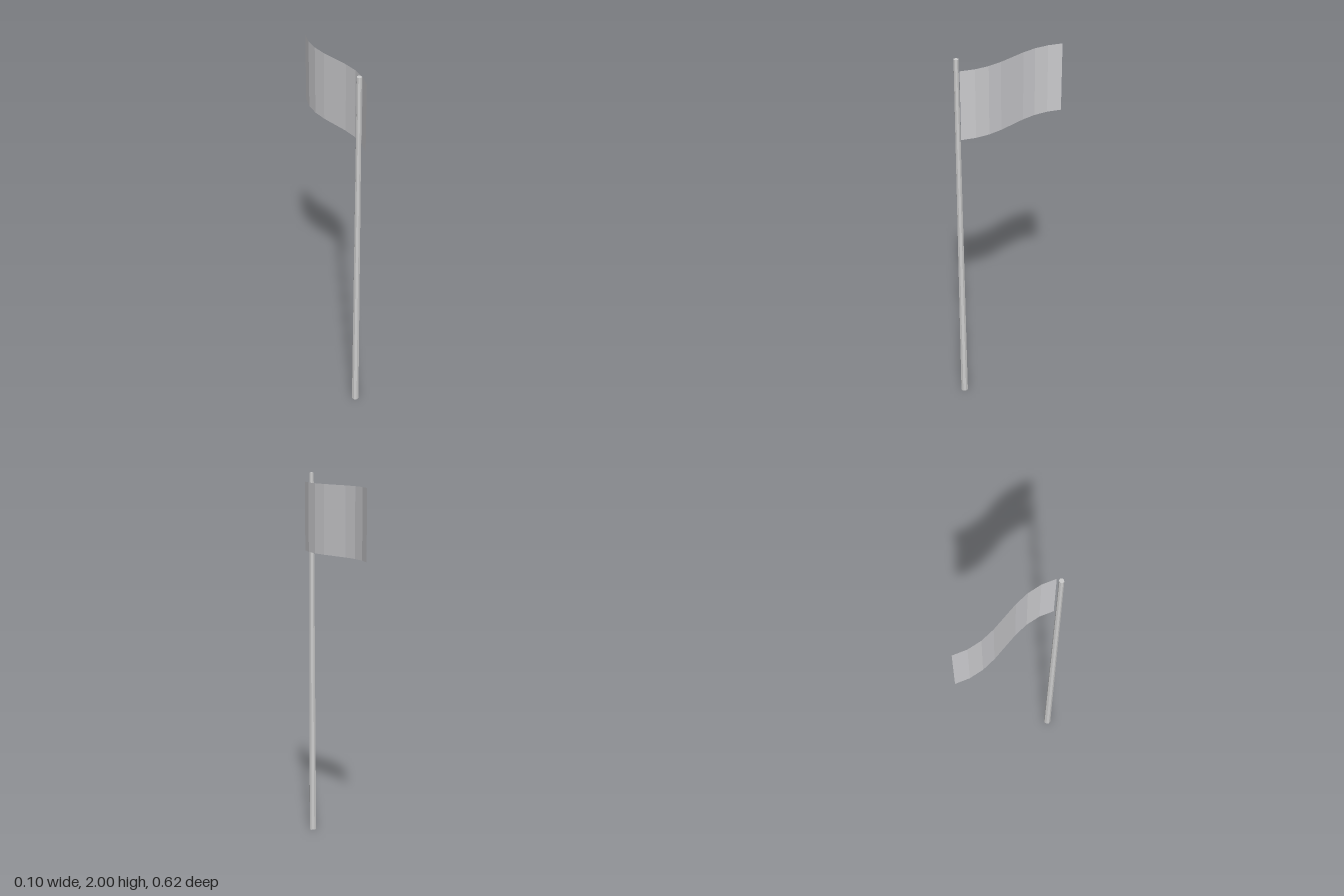
import * as THREE from 'three';

export function createModel() {
  const group = new THREE.Group();
  group.name = 'flagOnPole';

  const poleGrey = new THREE.MeshStandardMaterial({ color: 0xcccccc, flatShading: true });
  poleGrey.name = 'pale grey pole';
  const clothGrey = new THREE.MeshStandardMaterial({ color: 0xcccccf, flatShading: true, side: THREE.DoubleSide });
  clothGrey.name = 'pale grey cloth';

  // Tapered eight-sided pole
  const pole = new THREE.Mesh(new THREE.CylinderGeometry(0.0125, 0.0195, 2, 8), poleGrey);
  pole.name = 'pole';
  pole.position.set(0, 1, 0.29);
  group.add(pole);

  // Thin cloth, bent into an S-shaped wave along its length
  const cloth = new THREE.PlaneGeometry(0.6, 0.365, 8, 1);
  cloth.rotateY(Math.PI / 2);
  const p = cloth.attributes.position;
  for (let i = 0; i < p.count; i++) p.setX(i, 0.05 * Math.sin(7.6 * p.getZ(i)));
  cloth.computeVertexNormals();
  const flag = new THREE.Mesh(cloth, clothGrey);
  flag.name = 'flag';
  flag.position.set(0, 1.77, -0.01);
  group.add(flag);

  return group;
}
